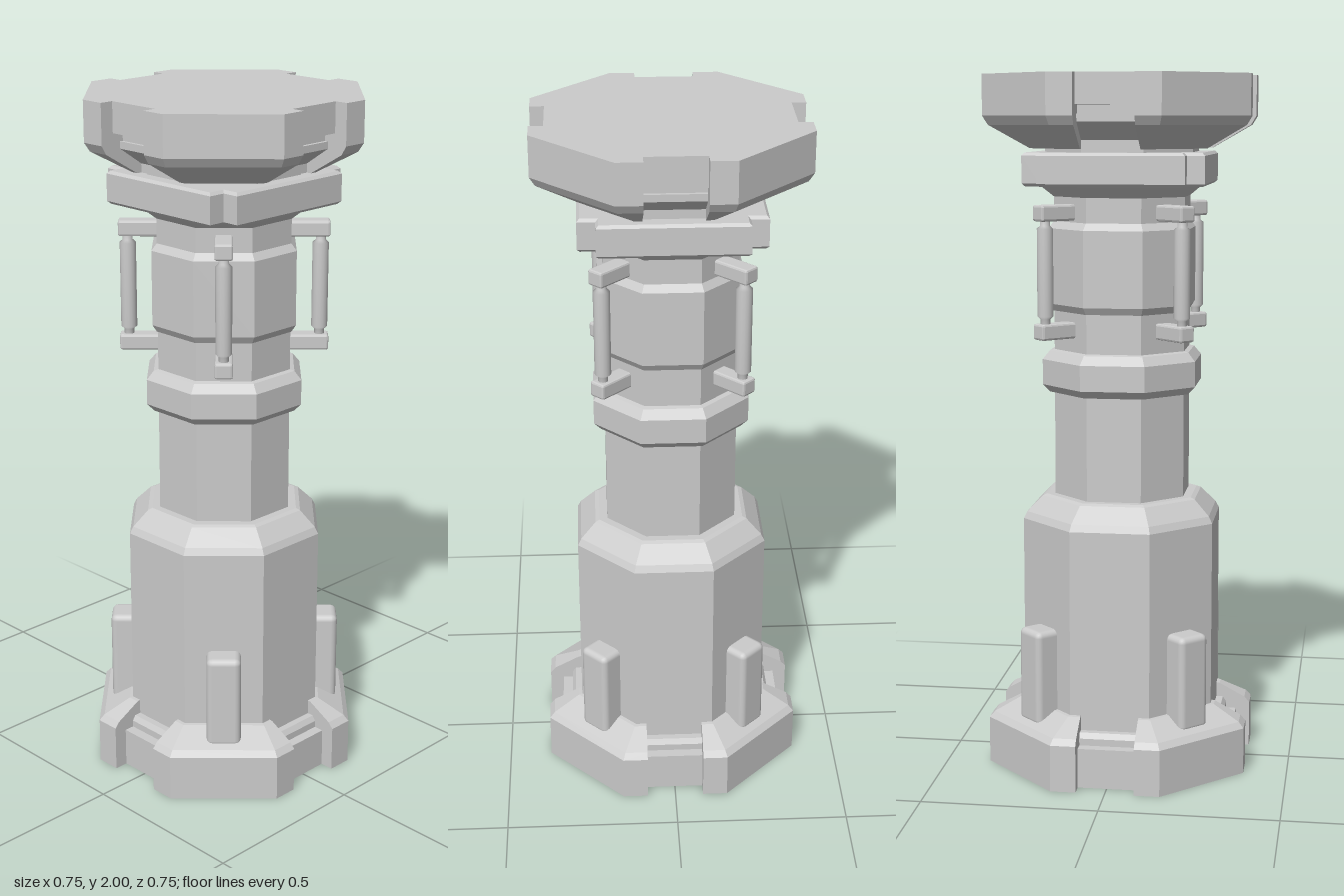
import * as THREE from 'three';
import { ConvexGeometry } from 'three/addons/geometries/ConvexGeometry.js';
import { RoundedBoxGeometry } from 'three/addons/geometries/RoundedBoxGeometry.js';

const grey = new THREE.MeshStandardMaterial({ color: 0xcccccc, flatShading: true });
const smoothGrey = new THREE.MeshStandardMaterial({ color: 0xcccccc });
const NOTCH = 0.083;

function add(parent, name, geometry, material = grey) {
  const mesh = new THREE.Mesh(geometry, material);
  mesh.name = name;
  parent.add(mesh);
  return mesh;
}

// Eight-sided turned part; profile is [apothem, y] from bottom to top
function octagon(profile) {
  const k = 1 / Math.cos(Math.PI / 8);
  const points = profile.map(([r, y]) => new THREE.Vector2(r * k, y));
  return new THREE.LatheGeometry(points, 8, Math.PI / 8);
}

// One corner block of the foot or the cap, between two notches
function cornerBlock(profile) {
  const points = [];
  for (const [r, y] of profile) {
    const s = r * Math.tan(Math.PI / 8);
    for (const [x, z] of [[NOTCH, NOTCH], [NOTCH, r], [s, r], [r, s], [r, NOTCH]]) {
      points.push(new THREE.Vector3(x, y, z));
    }
  }
  return new ConvexGeometry(points);
}

// Square plate with a small square cut out of each corner
function notchedPlate(half, cut, y, height) {
  const b = 0.008, h = half - b, c = cut - b;
  const shape = new THREE.Shape();
  const corners = [];
  for (let i = 0; i < 4; i++) {
    for (const [x, z] of [[h, -c], [h, c], [c, c]]) {
      const a = i * Math.PI / 2;
      corners.push(new THREE.Vector2(x * Math.cos(a) - z * Math.sin(a), x * Math.sin(a) + z * Math.cos(a)));
    }
  }
  shape.setFromPoints(corners);
  const geometry = new THREE.ExtrudeGeometry(shape, {
    depth: height - 2 * b, bevelThickness: b, bevelSize: b, bevelSegments: 1
  });
  return geometry.rotateX(-Math.PI / 2).translate(0, y + b, 0);
}

export function createModel() {
  const model = new THREE.Group();
  model.name = 'column';

  // Cores seen inside the notches of the foot and the cap
  add(model, 'footCore', octagon([
    [0, 0], [0.335, 0], [0.335, 0.115], [0.305, 0.115], [0.305, 0.135], [0.295, 0.15], [0, 0.15]
  ]));
  add(model, 'capCore', octagon([
    [0, 1.795], [0.235, 1.795], [0.235, 1.82], [0.31, 1.87], [0.31, 1.89], [0.3, 1.89],
    [0.3, 1.915], [0.335, 1.915], [0.335, 2], [0, 2]
  ]));

  // Shaft sections
  add(model, 'lowerBody', octagon([
    [0, 0.05], [0.275, 0.05], [0.275, 0.73], [0.265, 0.75], [0.222, 0.795], [0.21, 0.8], [0, 0.8]
  ]));
  add(model, 'shaft', octagon([[0, 0.75], [0.187, 0.75], [0.187, 1.7], [0, 1.7]]));
  add(model, 'collar', octagon([
    [0.18, 1.1], [0.2, 1.1], [0.22, 1.122], [0.22, 1.195], [0.2, 1.22], [0.18, 1.225]
  ]));
  add(model, 'sleeve', octagon([
    [0.18, 1.335], [0.19, 1.335], [0.202, 1.355], [0.202, 1.57], [0.187, 1.59], [0.18, 1.59]
  ]));
  add(model, 'flare', octagon([[0.18, 1.655], [0.187, 1.66], [0.225, 1.692], [0.225, 1.7], [0, 1.7]]));
  add(model, 'upperPlate', notchedPlate(0.255, 0.205, 1.692, 0.093));
  add(model, 'plateNeck', octagon([[0.21, 1.77], [0.21, 1.81]]));

  // Parts repeated on the four diagonals
  const foot = cornerBlock([[0.375, 0], [0.375, 0.135], [0.36, 0.152], [0.285, 0.192], [0.265, 0.195]]);
  const cap = cornerBlock([[0.375, 2], [0.375, 1.885], [0.36, 1.86], [0.25, 1.795]]);
  const fin = new RoundedBoxGeometry(0.1, 0.28, 0.1, 2, 0.018);
  const bracket = new RoundedBoxGeometry(0.05, 0.045, 0.14, 1, 0.006);
  const rod = new THREE.LatheGeometry([
    [0.014, 1.29], [0.014, 1.322], [0.023, 1.33], [0.023, 1.575], [0.014, 1.583], [0.014, 1.61]
  ].map(([r, y]) => new THREE.Vector2(r, y)), 16);

  for (let i = 0; i < 4; i++) {
    const quarter = new THREE.Group();
    quarter.name = 'corner' + (i + 1);
    quarter.rotation.y = i * Math.PI / 2;
    model.add(quarter);
    add(quarter, 'footBlock', foot);
    add(quarter, 'capBlock', cap);

    const diagonal = new THREE.Group();
    diagonal.name = 'diagonalParts';
    diagonal.rotation.y = Math.PI / 4;
    quarter.add(diagonal);
    add(diagonal, 'fin', fin, smoothGrey).position.set(0, 0.29, 0.291);
    add(diagonal, 'upperBracket', bracket).position.set(0, 1.618, 0.228);
    add(diagonal, 'lowerBracket', bracket).position.set(0, 1.286, 0.228);
    add(diagonal, 'rod', rod, smoothGrey).position.z = 0.272;
  }
  return model;
}
